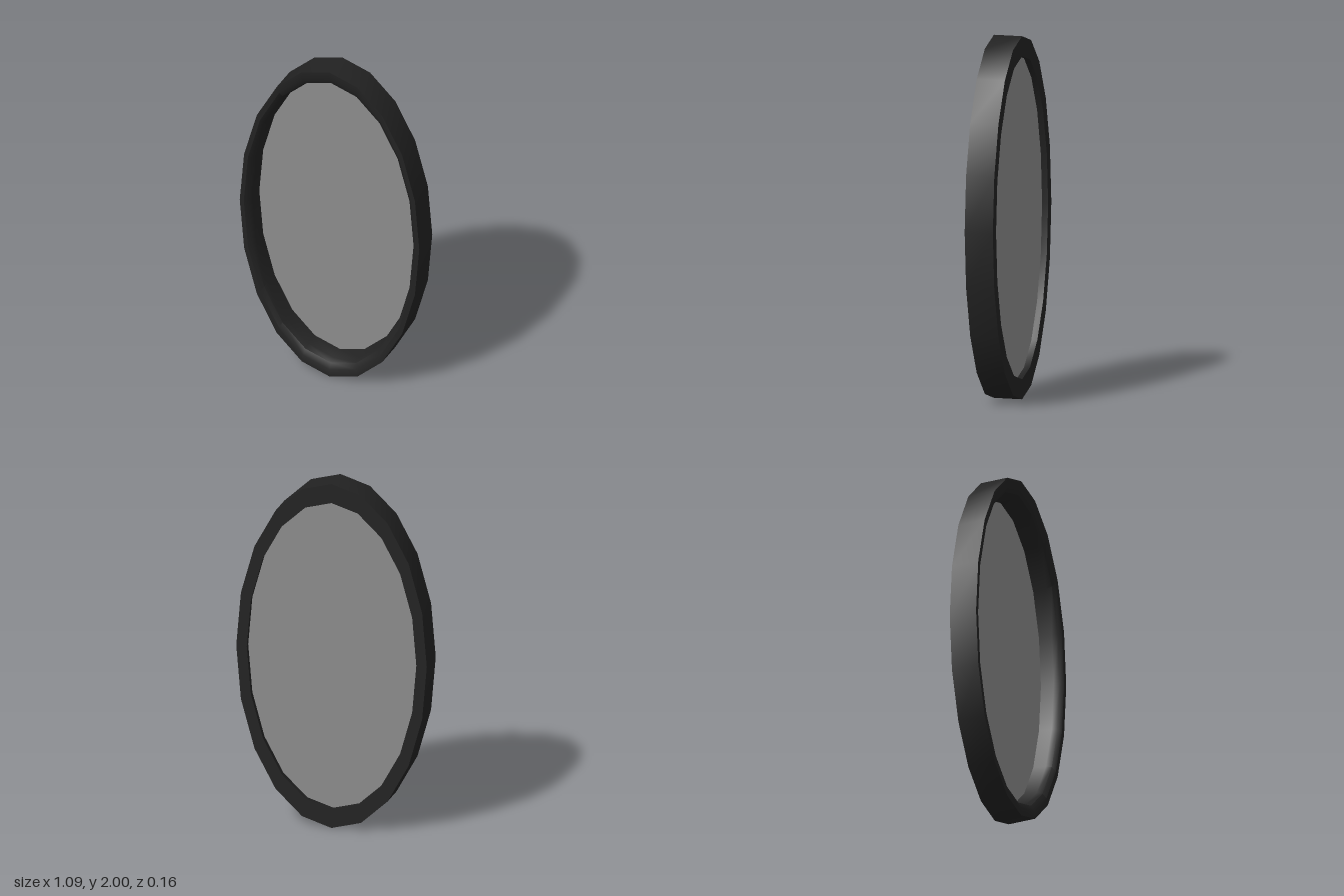
import * as THREE from 'three';
import { toCreasedNormals } from 'three/addons/utils/BufferGeometryUtils.js';

const HALF_WIDTH = 0.5425, HALF_HEIGHT = 1, SIDES = 20;

export function createModel() {
  const group = new THREE.Group();
  group.name = 'ovalMirror';

  // Moulded frame: cross-section (relative radius, depth) swept round, then squashed to an oval
  const profile = [
    [0.89, -0.08], [1, -0.08], [1, 0.08], [0.955, 0.08],
    [0.92, 0.062], [0.905, 0.03], [0.895, -0.045], [0.89, -0.08],
  ].map(([r, z]) => new THREE.Vector2(r, z));
  const frameGeometry = new THREE.LatheGeometry(profile, SIDES);
  frameGeometry.rotateX(Math.PI / 2).scale(HALF_WIDTH, HALF_HEIGHT, 1);
  const frame = new THREE.Mesh(
    toCreasedNormals(frameGeometry, 0.62),
    new THREE.MeshStandardMaterial({ color: 0x222222 })
  );
  frame.name = 'frame';

  // Flat pane set towards the back of the frame
  const paneGeometry = new THREE.CircleGeometry(0.896, SIDES);
  paneGeometry.scale(HALF_WIDTH, HALF_HEIGHT, 1);
  const pane = new THREE.Mesh(
    paneGeometry,
    new THREE.MeshStandardMaterial({ color: 0x8c8c8c, side: THREE.DoubleSide })
  );
  pane.name = 'glassPane';
  pane.position.z = -0.045;

  for (const part of [frame, pane]) {
    part.position.y = HALF_HEIGHT;
    group.add(part);
  }
  return group;
}
